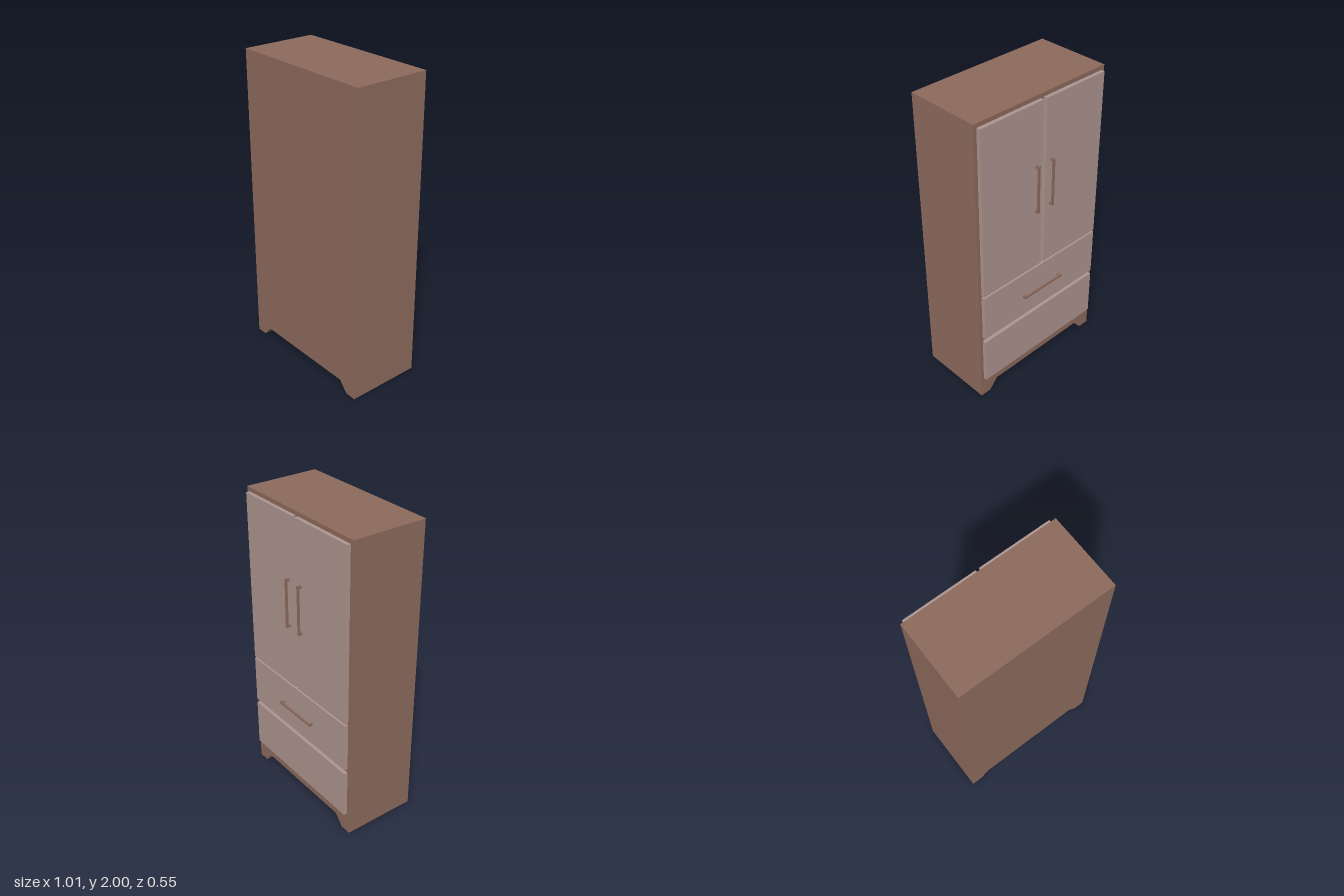
import * as THREE from 'three';

const wood = new THREE.MeshStandardMaterial({ color: 0x8d6a5d });
const panelMat = new THREE.MeshStandardMaterial({ color: 0xad958f });

const BODY_BACK = 0.273, BODY_FACE = -0.224, PANEL_FACE = -0.248, HANDLE_FACE = -0.273;

// Box given by its minimum and maximum corners
function box(name, material, [x0, y0, z0], [x1, y1, z1]) {
  const mesh = new THREE.Mesh(new THREE.BoxGeometry(x1 - x0, y1 - y0, z1 - z0), material);
  mesh.position.set((x0 + x1) / 2, (y0 + y1) / 2, (z0 + z1) / 2);
  mesh.name = name;
  return mesh;
}

// Bar handle on two posts, running along x and then turned upright if asked
function handle(name, x, y, upright) {
  const group = new THREE.Group();
  const half = 0.161, w = 0.0085;
  group.add(box('handleBar', wood, [-half, -0.007, HANDLE_FACE], [half, 0.007, HANDLE_FACE + 0.011]));
  for (const s of [-1, 1]) {
    const c = s * (half - w);
    group.add(box('handlePost', wood, [c - w, -w, HANDLE_FACE], [c + w, w, PANEL_FACE]));
  }
  group.position.set(x, y, 0);
  if (upright) group.rotation.z = Math.PI / 2;
  group.name = name;
  return group;
}

export function createModel() {
  const model = new THREE.Group();
  model.name = 'wardrobe';

  // Carcass with the sloped foot cut-out running front to back
  const outline = new THREE.Shape([
    [-0.505, 0], [-0.43, 0], [-0.37, 0.07], [0.37, 0.07], [0.43, 0], [0.505, 0], [0.505, 2], [-0.505, 2],
  ].map(([x, y]) => new THREE.Vector2(x, y)));
  const carcass = new THREE.Mesh(
    new THREE.ExtrudeGeometry(outline, { depth: BODY_BACK - BODY_FACE, bevelEnabled: false }), wood);
  carcass.position.z = BODY_FACE;
  carcass.name = 'carcass';
  model.add(carcass);

  // Paired doors and their upright handles
  for (const s of [-1, 1]) {
    const side = s > 0 ? 'left' : 'right';
    const [x0, x1] = s > 0 ? [0.012, 0.482] : [-0.482, -0.012];
    model.add(box(side + 'Door', panelMat, [x0, 0.842, PANEL_FACE], [x1, 1.973, BODY_FACE]));
    model.add(handle(side + 'DoorHandle', s * 0.06, 1.415, true));
  }

  // Two drawers, the upper one with a handle
  model.add(box('upperDrawer', panelMat, [-0.482, 0.502, PANEL_FACE], [0.482, 0.828, BODY_FACE]));
  model.add(box('lowerDrawer', panelMat, [-0.482, 0.147, PANEL_FACE], [0.482, 0.473, BODY_FACE]));
  model.add(handle('drawerHandle', 0, 0.657, false));

  return model;
}
